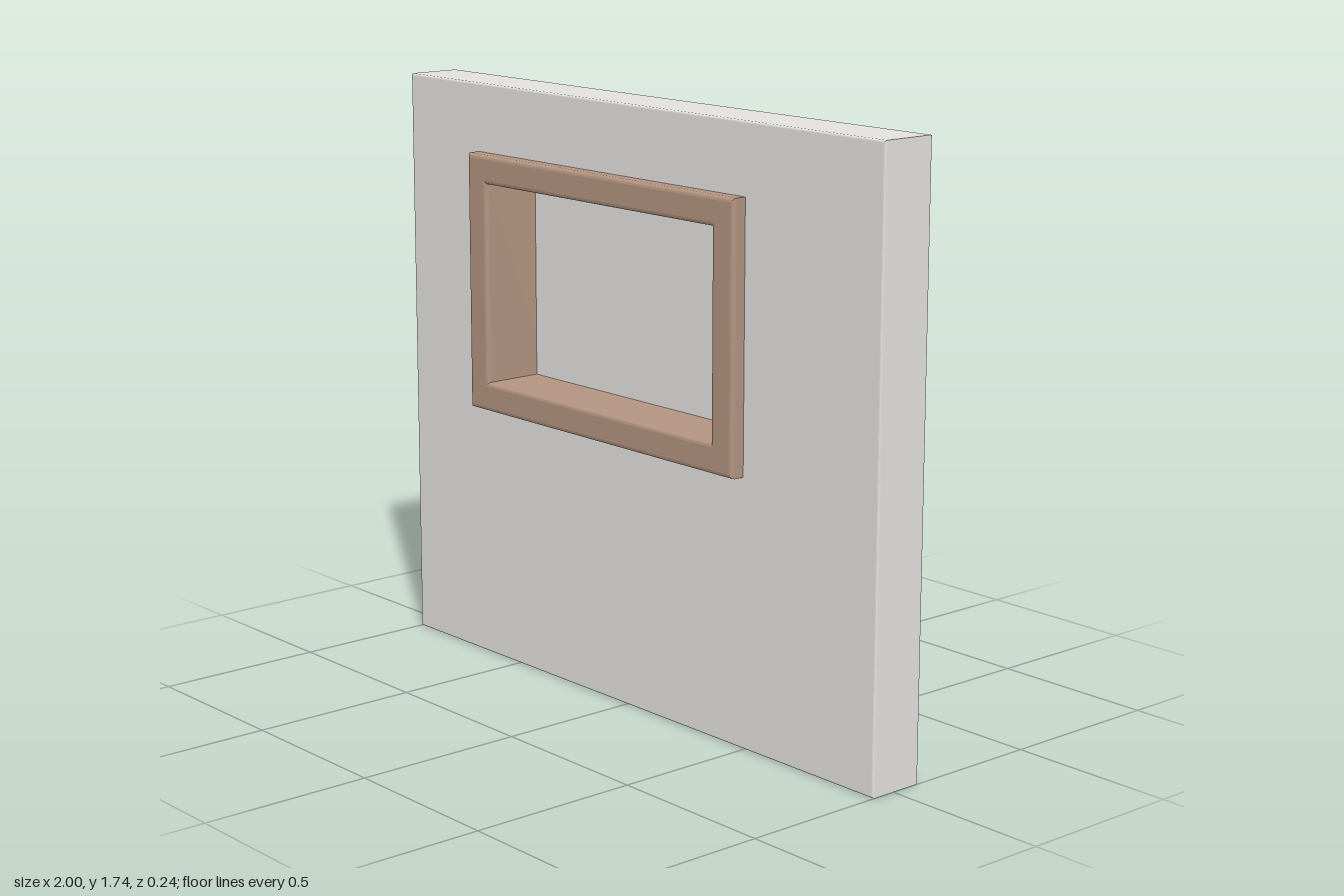
import * as THREE from 'three';

// Rectangular ring with rounded edges: a closed profile swept round four mitred corners.
// outer and hole are [left, bottom, right, top]; the ring spans z0 to z1.
function bevelledRing(outer, hole, z0, z1, bevel) {
  const steps = 3;
  const loops = [];
  const addLoop = ([x0, y0, x1, y1], grow, z) => loops.push([
    [x0 - grow, y0 - grow, z],
    [x1 + grow, y0 - grow, z],
    [x1 + grow, y1 + grow, z],
    [x0 - grow, y1 + grow, z],
  ]);

  // One rounded edge per profile corner: back outer, front outer, front inner, back inner
  const edges = [
    { rect: outer, z: z0 + bevel, side: -1, start: -Math.PI / 2 },
    { rect: outer, z: z1 - bevel, side: -1, start: 0 },
    { rect: hole, z: z1 - bevel, side: 1, start: Math.PI / 2 },
    { rect: hole, z: z0 + bevel, side: 1, start: Math.PI },
  ];
  for (const { rect, z, side, start } of edges) {
    for (let i = 0; i <= steps; i++) {
      const angle = start + (i / steps) * (Math.PI / 2);
      addLoop(rect, bevel * (side + Math.cos(angle)), z + bevel * Math.sin(angle));
    }
  }

  const positions = [];
  loops.forEach((loop, k) => {
    const next = loops[(k + 1) % loops.length];
    for (let c = 0; c < 4; c++) {
      const d = (c + 1) % 4;
      positions.push(...loop[c], ...loop[d], ...next[d], ...loop[c], ...next[d], ...next[c]);
    }
  });
  const geometry = new THREE.BufferGeometry();
  geometry.setAttribute('position', new THREE.Float32BufferAttribute(positions, 3));
  geometry.computeVertexNormals();
  return geometry;
}

export function createModel() {
  const plaster = new THREE.MeshStandardMaterial({ color: 0xe3e1df });
  plaster.name = 'pale grey plaster';
  const wood = new THREE.MeshStandardMaterial({ color: 0xb2937f });
  wood.name = 'brown wood';

  const group = new THREE.Group();
  const add = (name, geometry, material) => {
    const mesh = new THREE.Mesh(geometry, material);
    mesh.name = name;
    group.add(mesh);
    return mesh;
  };

  // Wall panel, its opening hidden inside the window frame
  add('wall', bevelledRing([-1, 0, 1, 1.74], [-0.63, 0.82, 0.45, 1.5], -0.093, 0.077, 0.006), plaster);

  // Window frame passing through the wall and standing proud on both sides
  add('windowFrame', bevelledRing([-0.67, 0.773, 0.488, 1.538], [-0.583, 0.86, 0.401, 1.453], -0.12, 0.12, 0.012), wood);

  // Pane set near the back of the frame
  const pane = add('windowPane', new THREE.BoxGeometry(1.03, 0.64, 0.02), plaster);
  pane.position.set(-0.091, 1.157, -0.075);

  return group;
}
